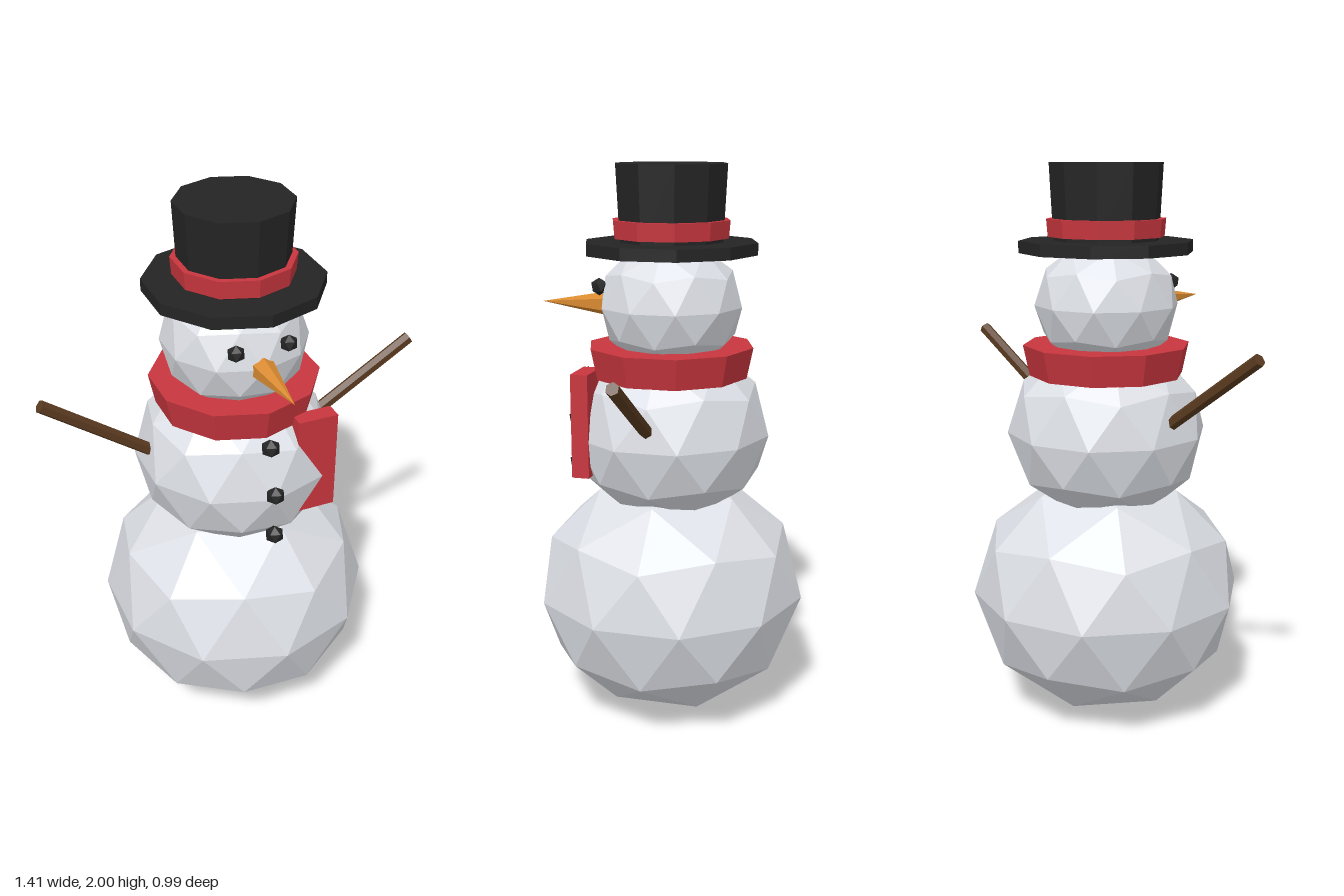
import * as THREE from 'three';

const material = (name, color) => {
  const m = new THREE.MeshStandardMaterial({ color, flatShading: true });
  m.name = name;
  return m;
};

export function createModel() {
  const group = new THREE.Group();
  const snow = material('snow', 0xdcdfe5);
  const black = material('coal black', 0x242424);
  const red = material('scarf red', 0xc8363e);
  const orange = material('carrot orange', 0xd98a30);
  const wood = material('wood brown', 0x5a3a20);

  const add = (name, geometry, mat, x = 0, y = 0, z = 0) => {
    const mesh = new THREE.Mesh(geometry, mat);
    mesh.name = name;
    mesh.position.set(x, y, z);
    group.add(mesh);
    return mesh;
  };

  // Faceted ball with a corner at each pole
  const poleTilt = -Math.atan(2 / (1 + Math.sqrt(5)));
  const ball = (radius, height, detail) =>
    new THREE.IcosahedronGeometry(1, detail).rotateZ(poleTilt).scale(radius, height, radius);

  // Ten-sided ring or drum between two heights
  const drum = (name, mat, rTop, rBottom, y0, y1) =>
    add(name, new THREE.CylinderGeometry(rTop, rBottom, y1 - y0, 10), mat, 0, (y0 + y1) / 2, 0);

  // Slightly flattened snowballs
  add('lowerBody', ball(0.495, 0.45, 1), snow, 0, 0.45, 0);
  add('upperBody', ball(0.36, 0.33, 1), snow, 0, 1.055, 0);
  add('head', ball(0.257, 0.234, 1), snow, 0, 1.51, 0);

  // Scarf with hanging tail
  drum('scarf', red, 0.3, 0.277, 1.26, 1.37);
  add('scarfTail', new THREE.BoxGeometry(0.145, 0.37, 0.062), red, 0.188, 1.111, 0.26);

  // Top hat
  drum('hatBrim', black, 0.31, 0.31, 1.693, 1.735);
  drum('hatCrown', black, 0.201, 0.187, 1.73, 2);
  drum('hatBand', red, 0.212, 0.207, 1.748, 1.81);

  // Coal eyes and buttons
  for (const side of [-1, 1]) {
    add(side > 0 ? 'leftEye' : 'rightEye', ball(0.031, 0.031, 0), black, side * 0.093, 1.58, 0.235);
  }
  [[1.24, 0.313], [1.075, 0.358], [0.908, 0.358]].forEach(([y, z], i) =>
    add('button' + (i + 1), ball(0.034, 0.034, 0), black, 0, y, z));

  // Carrot nose pointing forward
  add('nose', new THREE.ConeGeometry(0.042, 0.24, 6).rotateX(Math.PI / 2), orange, 0, 1.508, 0.362);

  // Stick arms, each from a point inside the body to its tip
  const arm = (name, from, to) => {
    const a = new THREE.Vector3(...from), b = new THREE.Vector3(...to);
    const dir = b.clone().sub(a);
    const geometry = new THREE.CylinderGeometry(0.023, 0.023, dir.length(), 6).rotateY(Math.PI / 6);
    const mesh = add(name, geometry, wood);
    mesh.position.copy(a).lerp(b, 0.5);
    mesh.quaternion.setFromUnitVectors(new THREE.Vector3(0, 1, 0), dir.normalize());
  };
  arm('leftArm', [0.29, 1.105, 0], [0.695, 1.355, 0]);
  arm('rightArm', [-0.29, 1.105, 0], [-0.692, 1.394, 0]);

  return group;
}
